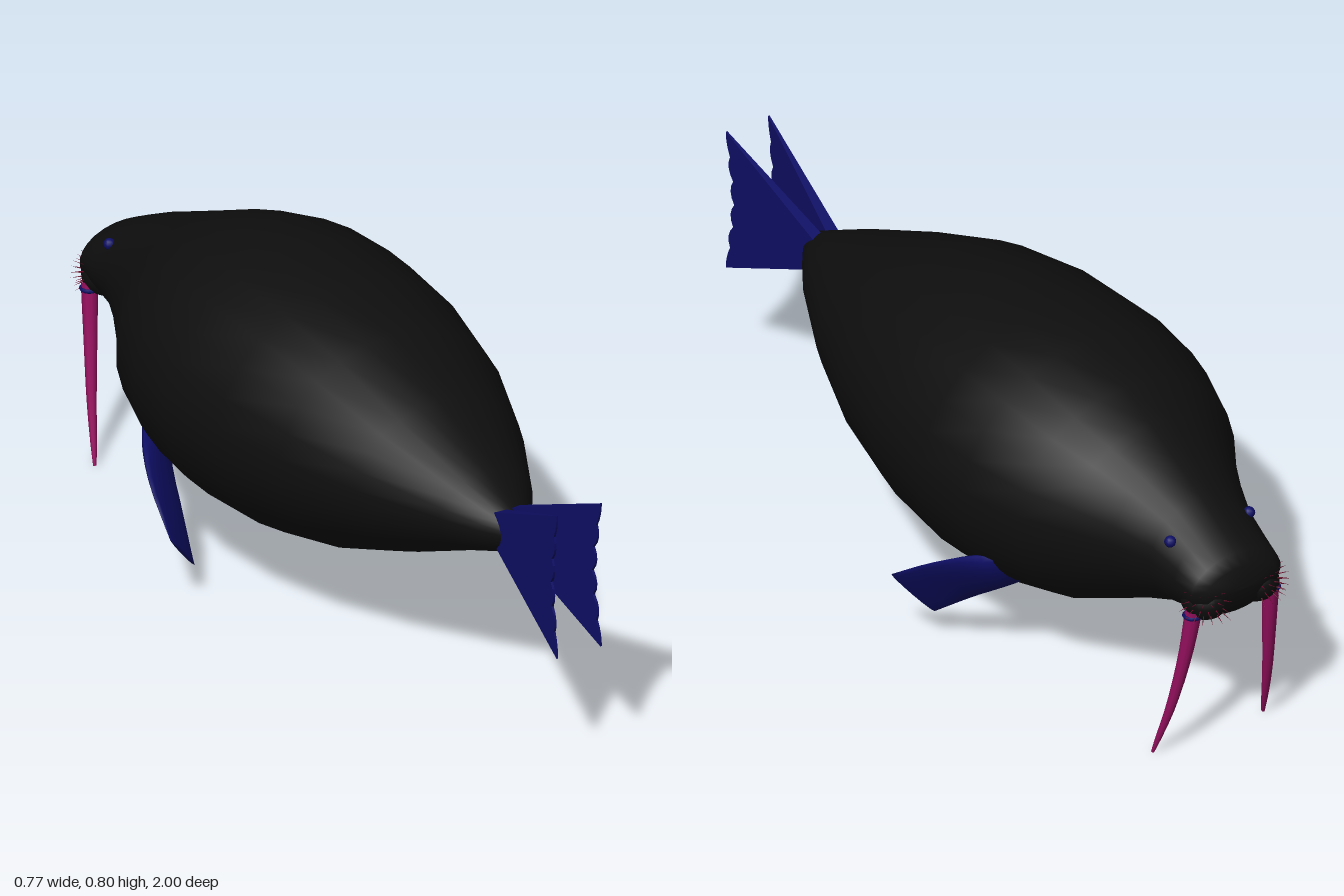
import * as THREE from 'three';

const V = (x, y, z) => new THREE.Vector3(x, y, z);

// Skin a list of closed rings; side -1 mirrors across x and flips the winding
function loft(rings, side = 1) {
  const n = rings[0].length, pos = [], idx = [];
  rings.forEach(r => r.forEach(p => pos.push(p.x * side, p.y, p.z)));
  for (let i = 0; i < rings.length - 1; i++) {
    for (let j = 0; j < n; j++) {
      const a = i * n + j, b = i * n + (j + 1) % n, c = a + n, d = b + n;
      if (side > 0) idx.push(a, b, c, b, d, c);
      else idx.push(a, c, b, b, c, d);
    }
  }
  const g = new THREE.BufferGeometry();
  g.setAttribute('position', new THREE.Float32BufferAttribute(pos, 3));
  g.setIndex(idx);
  g.computeVertexNormals();
  return g;
}

// Ellipse around centre c: half-axis w, and a half-axis of length t across w and the direction dir
function ellipse(c, w, dir, t, n) {
  const across = dir.clone().cross(w).normalize().multiplyScalar(t);
  return Array.from({ length: n }, (_, j) => {
    const a = j / n * Math.PI * 2;
    return c.clone().addScaledVector(w, Math.cos(a)).addScaledVector(across, Math.sin(a));
  });
}

// Body stations: z, top, bottom, half width
const STATIONS = [
  [0.75, 0.49, 0.48, 0.006], [0.73, 0.52, 0.445, 0.035], [0.68, 0.545, 0.42, 0.072],
  [0.6, 0.585, 0.39, 0.125], [0.4, 0.675, 0.3, 0.227], [0.2, 0.755, 0.22, 0.302],
  [0, 0.795, 0.17, 0.346], [-0.2, 0.806, 0.154, 0.361], [-0.35, 0.795, 0.166, 0.348],
  [-0.5, 0.75, 0.205, 0.3], [-0.6, 0.705, 0.253, 0.237], [-0.7, 0.66, 0.305, 0.185],
  [-0.8, 0.615, 0.347, 0.143], [-0.88, 0.573, 0.368, 0.13], [-0.94, 0.54, 0.385, 0.122],
  [-0.963, 0.515, 0.41, 0.1], [-0.97, 0.47, 0.45, 0.04],
];

function bodyGeometry() {
  const rings = STATIONS.map(([z, top, bottom, w]) =>
    Array.from({ length: 26 }, (_, j) => {
      const a = j / 26 * Math.PI * 2;
      return V(w * Math.sin(a), (top + bottom) / 2 + (top - bottom) / 2 * Math.cos(a), z);
    }));
  // close both ends
  rings.unshift(rings[0].map(() => V(0, 0.485, 0.752)));
  rings.push(rings[0].map(() => V(0, 0.46, -0.972)));
  return loft(rings);
}

// Front flipper between an upper and a lower edge curve
function flipperGeometry(side) {
  const upper = new THREE.CatmullRomCurve3([V(0.29, 0.345, -0.39), V(0.33, 0.325, -0.33), V(0.365, 0.28, -0.25), V(0.386, 0.195, -0.13)]);
  const lower = new THREE.CatmullRomCurve3([V(0.21, 0.27, -0.41), V(0.235, 0.235, -0.37), V(0.262, 0.17, -0.28), V(0.295, 0.084, -0.17)]);
  const rings = [];
  for (let i = 0; i <= 8; i++) {
    const t = i / 8, a = upper.getPoint(t), b = lower.getPoint(t);
    const c = a.clone().add(b).multiplyScalar(0.5);
    const dir = upper.getTangent(t).add(lower.getTangent(t));
    rings.push(ellipse(c, a.sub(b).multiplyScalar(0.5), dir, 0.024 - 0.019 * t, 12));
  }
  const end = upper.getPoint(1).add(lower.getPoint(1)).multiplyScalar(0.5);
  rings.push(rings[0].map(() => end.clone()));
  return loft(rings, side);
}

// Tapered, backward-curving tusk
function tuskGeometry(side) {
  const path = new THREE.CatmullRomCurve3([V(0.105, 0.42, -0.925), V(0.115, 0.29, -0.905), V(0.132, 0.14, -0.872), V(0.151, 0.003, -0.828)]);
  const rings = [];
  for (let i = 0; i <= 10; i++) {
    const t = i / 10, r = 0.004 + 0.016 * Math.pow(1 - t, 0.7);
    rings.push(ellipse(path.getPoint(t), V(r, 0, 0), path.getTangent(t), r, 10));
  }
  rings.push(rings[0].map(() => path.getPoint(1)));
  return loft(rings, side);
}

// Thin tail fan with a scalloped trailing edge, splayed outwards
function tailGeometry(side) {
  const s = new THREE.Shape();
  s.moveTo(0.69, 0.45);
  s.lineTo(1, 0.302);
  const edge = k => [1 - 0.03 * Math.sin(Math.PI * k / 6), 0.302 + 0.364 * k / 6];
  for (let k = 1; k <= 6; k++) {
    const [z0, y0] = edge(k - 1), [z1, y1] = edge(k);
    s.quadraticCurveTo(Math.min(1, (z0 + z1) / 2 + 0.022), (y0 + y1) / 2, z1, y1);
  }
  s.lineTo(0.69, 0.53);
  s.closePath();
  const g = new THREE.ExtrudeGeometry(s, { depth: 0.028, bevelEnabled: false, curveSegments: 4 });
  g.translate(0, 0, -0.014);
  g.rotateY(-Math.PI / 2);
  const p = g.attributes.position;
  for (let i = 0; i < p.count; i++) {
    const t = (p.getZ(i) - 0.69) / 0.31;
    p.setX(i, side * (0.02 + 0.038 * t) + p.getX(i) * (1.05 - 0.9 * t));
  }
  g.computeVertexNormals();
  return g;
}

export function createModel() {
  const mat = (name, color) => Object.assign(new THREE.MeshStandardMaterial({ color }), { name });
  const hide = mat('blackHide', 0x0e0e0e);
  const blue = mat('deepBlue', 0x0e0e66);
  const ivory = mat('magentaTusk', 0x96105f);
  const bristle = mat('darkRedWhisker', 0x6e0a2c);

  const model = new THREE.Group();
  model.name = 'walrus';
  const add = (name, geo, m, parent = model) => {
    const mesh = new THREE.Mesh(geo, m);
    mesh.name = name;
    parent.add(mesh);
    return mesh;
  };

  add('body', bodyGeometry(), hide);

  for (const side of [1, -1]) {
    const tag = side > 0 ? 'left' : 'right';
    add(tag + 'FrontFlipper', flipperGeometry(side), blue);
    add(tag + 'TailFlipper', tailGeometry(side), blue);
    add(tag + 'Tusk', tuskGeometry(side), ivory);
    add(tag + 'Eye', new THREE.SphereGeometry(0.014, 10, 8), blue).position.set(side * 0.108, 0.553, -0.835);

    // gum ring at the tusk root
    const gum = add(tag + 'TuskSocket', new THREE.TorusGeometry(0.019, 0.005, 6, 14), blue);
    gum.rotation.x = Math.PI / 2;
    gum.position.set(side * 0.107, 0.402, -0.922);

    // muzzle pad
    const centre = V(side * 0.068, 0.432, -0.915), radii = V(0.056, 0.05, 0.058);
    const pad = add(tag + 'MuzzlePad', new THREE.SphereGeometry(1, 18, 12), hide);
    pad.position.copy(centre);
    pad.scale.copy(radii);

    // whiskers fanning out from the pad
    const whiskers = new THREE.Group();
    whiskers.name = tag + 'Whiskers';
    model.add(whiskers);
    for (let row = 0; row < 4; row++) {
      for (let k = 0; k < 6; k++) {
        const yaw = -0.3 + k * 0.33 + (row % 2) * 0.12, pitch = -0.45 + row * 0.35;
        const dir = V(side * Math.sin(yaw) * Math.cos(pitch), Math.sin(pitch), -Math.cos(yaw) * Math.cos(pitch));
        const w = add('whisker', new THREE.ConeGeometry(0.002, 0.034, 5), bristle, whiskers);
        w.position.copy(dir).multiply(radii).add(centre).addScaledVector(dir, 0.008);
        w.quaternion.setFromUnitVectors(V(0, 1, 0), dir);
      }
    }
  }
  return model;
}
